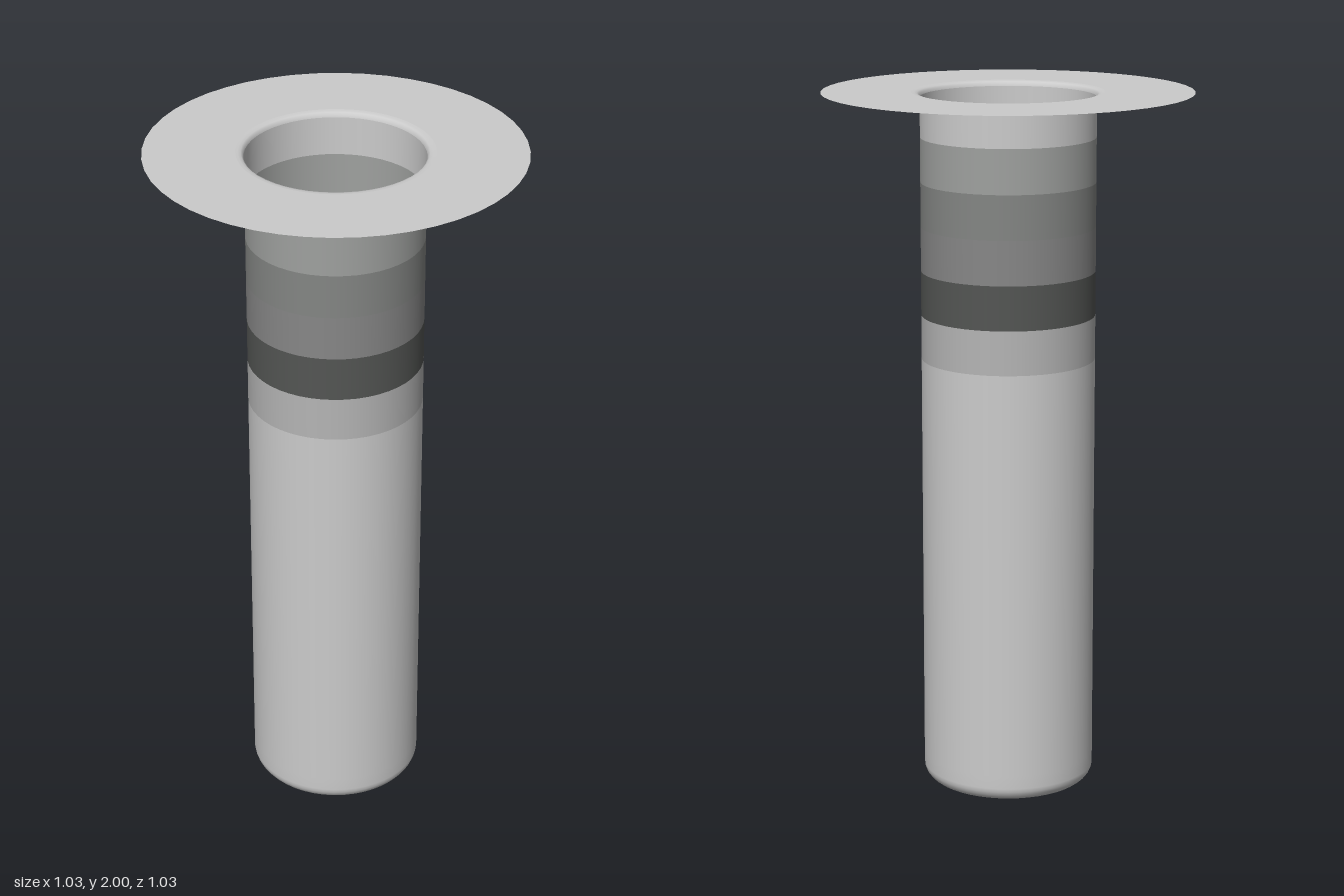
import * as THREE from 'three';

const SEGMENTS = 48;
const RADIUS = 0.245;

// Thin surface of revolution from [radius, height] pairs
function turned(name, profile, color = 0xcccccc) {
  const points = profile.map(([r, y]) => new THREE.Vector2(r, y));
  const material = new THREE.MeshStandardMaterial({ color, side: THREE.DoubleSide });
  const mesh = new THREE.Mesh(new THREE.LatheGeometry(points, SEGMENTS), material);
  mesh.name = name;
  return mesh;
}

export function createModel() {
  const model = new THREE.Group();
  model.name = 'flangedTube';

  const tube = new THREE.Group();
  tube.name = 'tube';
  tube.position.x = -0.002;
  model.add(tube);

  // Closed lower end with a rounded corner, running up into the plain wall
  const corner = 0.042;
  const body = [[0, 0], [0.1, 0], [0.19, 0]];
  for (let i = 0; i <= 6; i++) {
    const a = (i / 6) * Math.PI / 2;
    body.push([RADIUS - corner + corner * Math.sin(a), corner * (1 - Math.cos(a))]);
  }
  body.push([RADIUS, 0.08], [RADIUS, 1.25]);
  tube.add(turned('body', body));

  // Equal shaded bands stacked above the body
  const bandColors = [0xb5b5b5, 0x545654, 0x878787, 0x848684, 0x9fa19f];
  const bandHeight = 0.125;
  bandColors.forEach((color, i) => {
    const y = 1.25 + i * bandHeight;
    tube.add(turned(`band${i + 1}`, [[RADIUS, y], [RADIUS, y + bandHeight]], color));
  });

  // Plain collar above the bands
  tube.add(turned('collar', [[RADIUS, 1.875], [RADIUS, 1.985]]));

  // Small flare from the collar into the flange
  tube.add(turned('lip', [
    [RADIUS, 1.985], [0.247, 1.992], [0.252, 1.997], [0.26, 1.999], [0.27, 2],
  ]));

  // Wide flat flange, drawn from rim to lip so it faces up
  model.add(turned('flange', [[0.517, 2], [0.268, 2]]));

  return model;
}
